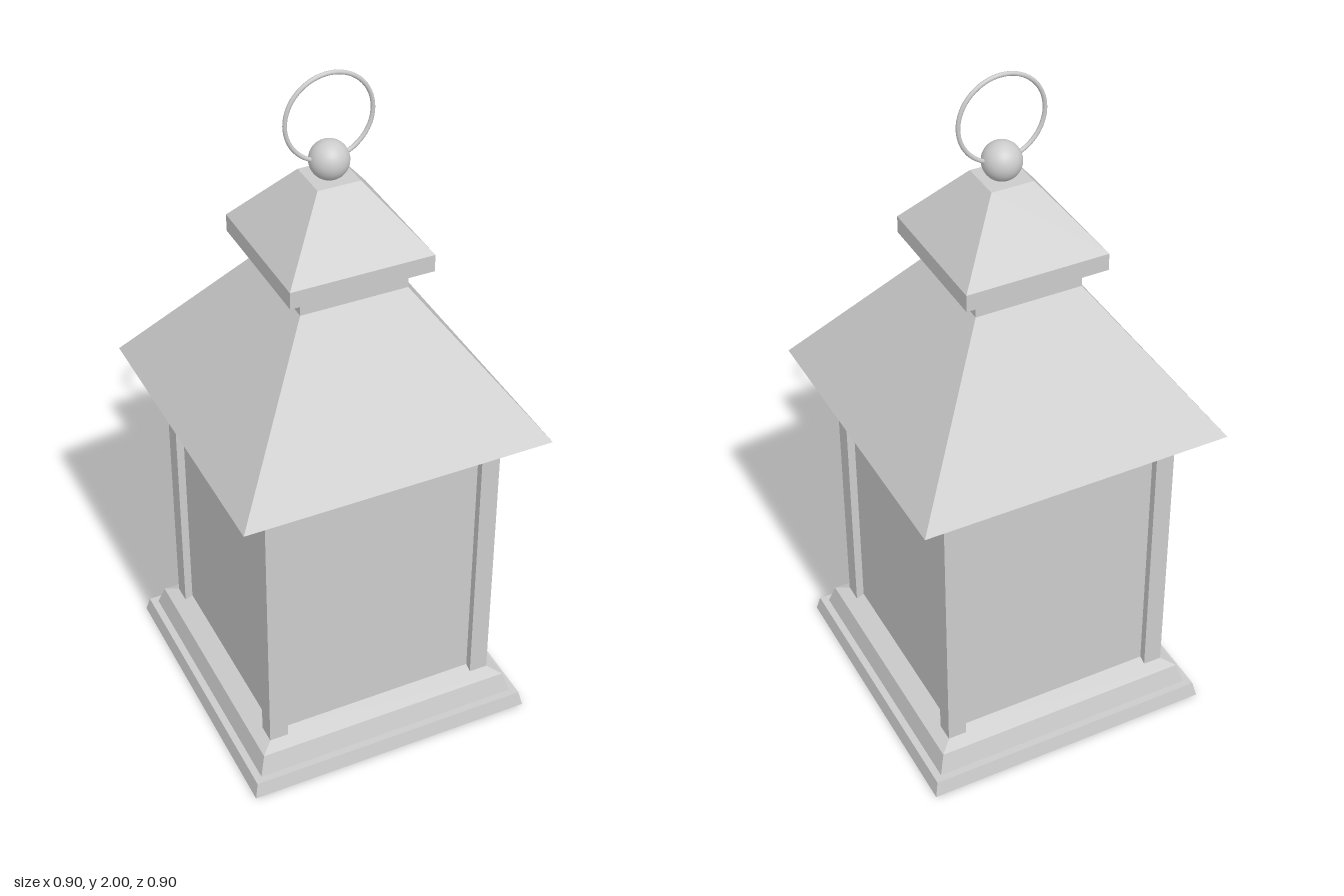
import * as THREE from 'three';

const flat = new THREE.MeshStandardMaterial({ color: 0xcccccc, flatShading: true });
const smooth = new THREE.MeshStandardMaterial({ color: 0xcccccc });

// Square-plan solid from a profile of [half width, height], bottom to top
function squareTurned(profile) {
  const points = profile.map(([half, y]) => new THREE.Vector2(half * Math.SQRT2, y));
  const geometry = new THREE.LatheGeometry(points, 4, Math.PI / 4).toNonIndexed();
  geometry.computeVertexNormals();
  return geometry;
}

export function createModel() {
  const lantern = new THREE.Group();
  lantern.name = 'lantern';

  function add(name, geometry, material, x = 0, y = 0, z = 0) {
    const mesh = new THREE.Mesh(geometry, material);
    mesh.name = name;
    mesh.position.set(x, y, z);
    lantern.add(mesh);
    return mesh;
  }

  // Stepped plinth with a sloping top
  add('base', squareTurned([
    [0, 0], [0.433, 0], [0.423, 0.045], [0.402, 0.045],
    [0.385, 0.105], [0.327, 0.13], [0, 0.13],
  ]), flat);

  // Lantern body: panes set back between four corner posts
  add('panes', new THREE.BoxGeometry(0.654, 0.9, 0.654), flat, 0, 0.56, 0);
  const postGeometry = new THREE.BoxGeometry(0.055, 0.9, 0.055);
  for (const x of [-1, 1]) {
    for (const z of [-1, 1]) {
      add('cornerPost', postGeometry, flat, x * 0.3225, 0.56, z * 0.3225);
    }
  }

  // Main roof with a flat underside
  add('roof', squareTurned([[0, 1.005], [0.45, 1.005], [0.155, 1.41], [0, 1.41]]), flat);

  // Vent neck and its small capped roof
  add('neck', new THREE.BoxGeometry(0.31, 0.09, 0.31), flat, 0, 1.445, 0);
  add('capRoof', squareTurned([
    [0, 1.475], [0.205, 1.475], [0.205, 1.525], [0.061, 1.705], [0, 1.705],
  ]), flat);

  // Finial ball and carrying ring
  add('finial', new THREE.SphereGeometry(0.054, 32, 20), smooth, 0, 1.75, 0);
  add('ring', new THREE.TorusGeometry(0.122, 0.006, 10, 64), smooth, 0, 1.872, 0);

  return lantern;
}
